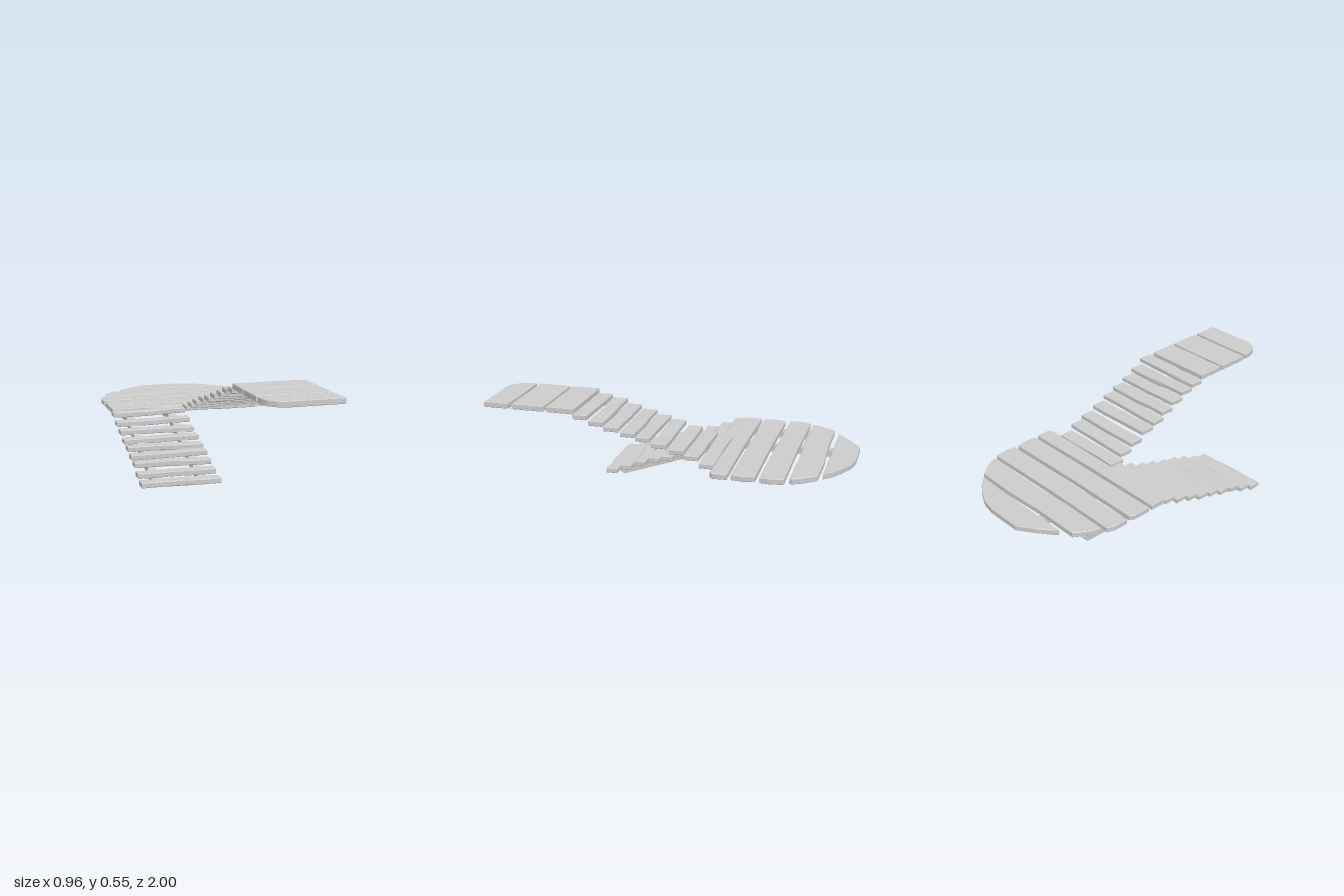
import * as THREE from 'three';

const material = new THREE.MeshStandardMaterial({ color: 0xcccccc, flatShading: true, side: THREE.DoubleSide });

// Seeded wobble for the worn timber edges
let seed = 7;
const wobble = (amount) => {
  seed = (seed * 16807) % 2147483647;
  return (seed / 2147483647 - 0.5) * 2 * amount;
};

// Flat board from an outline of [x, z] points, hanging down from height top
function board(name, outline, top, thickness) {
  const shape = new THREE.Shape(outline.map(([x, z]) => new THREE.Vector2(x, z)));
  const bevel = 0.003;
  const geometry = new THREE.ExtrudeGeometry(shape, {
    depth: thickness - 2 * bevel, bevelThickness: bevel, bevelSize: bevel, bevelOffset: -bevel, bevelSegments: 1,
  });
  geometry.rotateX(Math.PI / 2);
  geometry.translate(0, top - bevel, 0);
  const mesh = new THREE.Mesh(geometry, material);
  mesh.name = name;
  return mesh;
}

// Rough rectangular outline with slightly uneven long edges
function roughOutline(x0, x1, z0, z1, rough = 0.004) {
  const points = [];
  const n = 4;
  for (let i = 0; i <= n; i++) points.push([x0 + (x1 - x0) * i / n, z0 + Math.abs(wobble(rough))]);
  for (let i = n; i >= 0; i--) points.push([x0 + (x1 - x0) * i / n, z1 - Math.abs(wobble(rough))]);
  return points;
}

// Stair tread with one half set slightly higher than the other
function tread(name, x0, x1, z, y, depth, thickness, split) {
  const outline = roughOutline(x0, x1, z - depth / 2, z + depth / 2, 0.006);
  const mesh = board(name, outline, y + thickness / 2, thickness);
  const position = mesh.geometry.attributes.position;
  const lift = wobble(0.004);
  for (let i = 0; i < position.count; i++) {
    const side = position.getX(i) < split ? 1 : -1;
    position.setY(i, position.getY(i) + side * lift);
  }
  mesh.geometry.computeVertexNormals();
  return mesh;
}

// Bent beam under the lower stair and landing, ending at zEnd
function stringer(x, zEnd) {
  const profile = [[0.42, 0.03], [0.37, 0.002], [-0.22, 0.21], [-0.32, 0.226], [zEnd + 0.03, 0.226],
    [zEnd, 0.265], [-0.3, 0.265], [-0.2, 0.248]];
  const shape = new THREE.Shape(profile.map(([z, y]) => new THREE.Vector2(-z, y)));
  const geometry = new THREE.ExtrudeGeometry(shape, { depth: 0.045, bevelEnabled: false });
  geometry.rotateY(Math.PI / 2);
  geometry.translate(x - 0.0225, 0, 0);
  const mesh = new THREE.Mesh(geometry, material);
  mesh.name = 'stringer';
  return mesh;
}

export function createModel() {
  const model = new THREE.Group();
  model.name = 'woodenStairs';
  const addGroup = (name) => {
    const group = new THREE.Group();
    group.name = name;
    model.add(group);
    return group;
  };

  // Landing with a rounded back edge
  const landing = addGroup('landing');
  const landingPlanks = [
    [[-0.31, -0.862], [-0.29, -0.885], [-0.22, -0.94], [-0.13, -1], [0.07, -1], [0.15, -0.985], [0.23, -0.945],
      [0.29, -0.905], [0.335, -0.857], [0.05, -0.86]],
    [[-0.44, -0.695], [-0.43, -0.74], [-0.37, -0.83], [-0.1, -0.828], [0.15, -0.84], [0.365, -0.835], [0.42, -0.765],
      [0.447, -0.715], [0.44, -0.7], [0.1, -0.702], [-0.15, -0.69]],
    [[-0.475, -0.555], [-0.475, -0.63], [-0.46, -0.677], [0, -0.672], [0.465, -0.677], [0.475, -0.6], [0.47, -0.55], [0.1, -0.548]],
    [[-0.475, -0.4], [-0.475, -0.5], [-0.46, -0.527], [0, -0.522], [0.465, -0.527], [0.477, -0.46], [0.47, -0.4], [0, -0.398]],
    [[-0.475, -0.285], [-0.475, -0.38], [0, -0.375], [0.475, -0.38], [0.477, -0.3], [0.46, -0.285], [0, -0.288]],
  ];
  landingPlanks.forEach((outline) => landing.add(board('landingPlank', outline, 0.295, 0.031)));

  // Lower flight: open treads on two stringers
  const lower = addGroup('lowerFlight');
  const lowerSteps = [[0.43, 0.038], [0.345, 0.066], [0.258, 0.1], [0.172, 0.125], [0.093, 0.148],
    [0.005, 0.174], [-0.08, 0.205], [-0.168, 0.238], [-0.253, 0.275]];
  lowerSteps.forEach(([z, y]) => {
    lower.add(tread('lowerTread', -0.478 + wobble(0.004), -0.052 + wobble(0.004), z, y, 0.071, 0.028, -0.26));
  });
  lower.add(stringer(-0.383, -0.79), stringer(-0.133, -0.95));

  // Upper flight: closely spaced treads drifting sideways as they climb
  const upper = addGroup('upperFlight');
  const upperSteps = [[-0.245, 0.291, -0.055, 0.38], [-0.165, 0.325, -0.045, 0.38], [-0.085, 0.354, -0.04, 0.385],
    [0.01, 0.384, -0.03, 0.39], [0.1, 0.41, -0.025, 0.395], [0.18, 0.436, -0.015, 0.405],
    [0.268, 0.463, -0.005, 0.415], [0.348, 0.492, 0, 0.425], [0.432, 0.518, 0.003, 0.438]];
  upperSteps.forEach(([z, y, x0, x1]) => {
    upper.add(tread('upperTread', x0, x1, z, y, 0.09, 0.027, 0.16));
  });

  // Upper walkway, last plank with a worn corner
  const walkway = addGroup('upperWalkway');
  walkway.add(board('walkwayPlank', roughOutline(0.005, 0.41, 0.472, 0.636), 0.556, 0.031));
  walkway.add(board('walkwayPlank', roughOutline(0.005, 0.41, 0.648, 0.838), 0.556, 0.031));
  walkway.add(board('walkwayPlank', [[0.008, 0.856], [0.2, 0.852], [0.41, 0.855], [0.41, 0.997], [0.3, 0.996],
    [0.11, 1], [0.06, 0.982], [0.025, 0.945], [0.01, 0.9]], 0.556, 0.031));

  return model;
}
